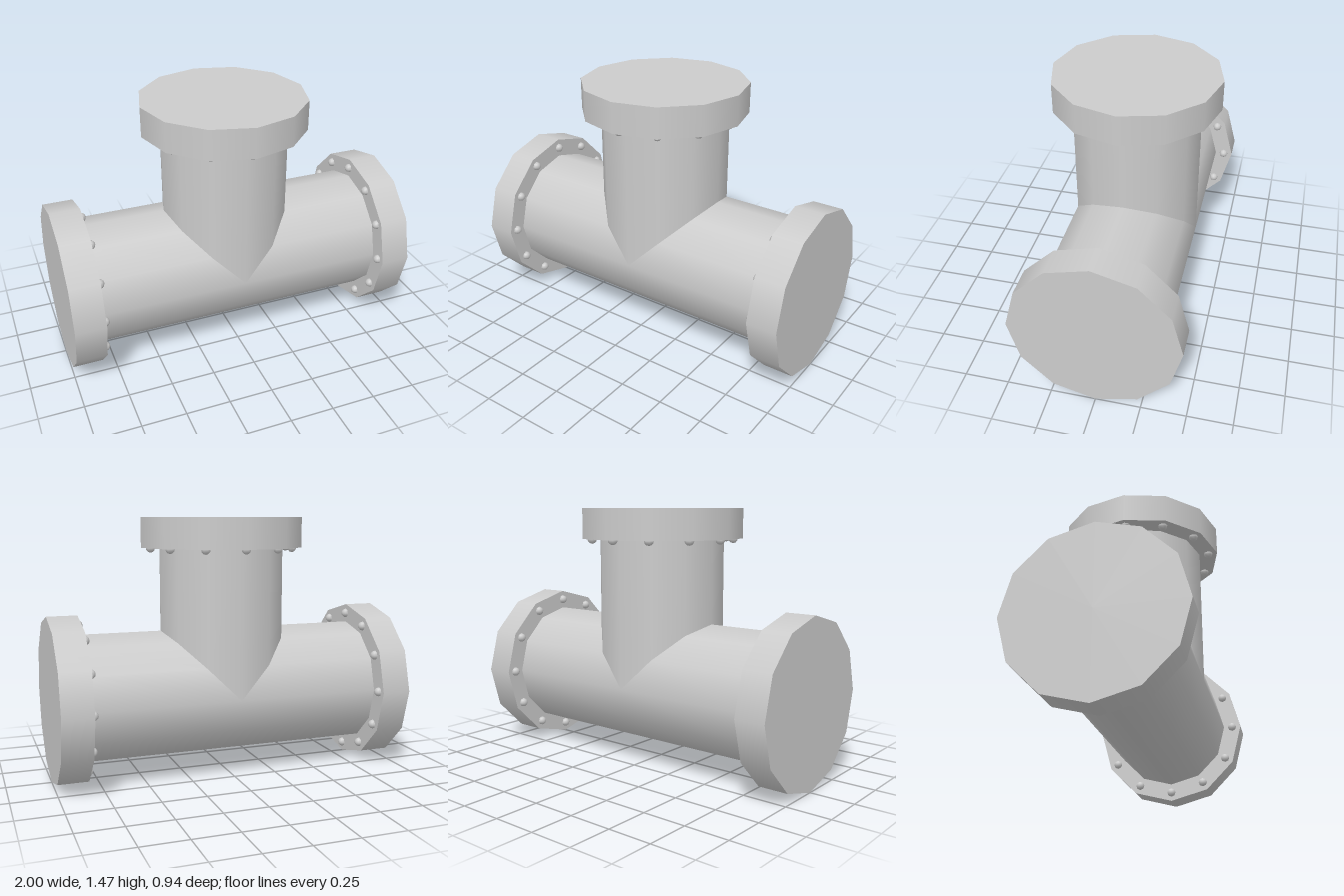
import * as THREE from 'three';

const SIDES = 12;
const PIPE_R = 0.36, FLANGE_R = 0.4675, BOLT_RING_R = 0.413, BOLT_R = 0.027;
const REACH = 1, FLANGE_T = 0.17;
const FACE = REACH - FLANGE_T; // inner face of each flange

const material = new THREE.MeshStandardMaterial({ color: 0xcccccc });

function addMesh(parent, name, geometry) {
  const mesh = new THREE.Mesh(geometry, material);
  mesh.name = name;
  parent.add(mesh);
  return mesh;
}

// One arm of the tee along +y; miter(x) gives the height where its inner end is cut
function createArm(name, miter) {
  const arm = new THREE.Group();
  arm.name = name;

  // Pipe, open at the mitred joint and closed by the flange
  const pipe = new THREE.CylinderGeometry(PIPE_R, PIPE_R, FACE, SIDES, 1, true);
  pipe.translate(0, FACE / 2, 0);
  const p = pipe.attributes.position;
  for (let i = 0; i < p.count; i++) {
    if (p.getY(i) < FACE / 2) p.setY(i, miter(p.getX(i)));
  }
  addMesh(arm, name + 'Pipe', pipe);

  // Solid end flange
  const flange = new THREE.CylinderGeometry(FLANGE_R, FLANGE_R, FLANGE_T, SIDES);
  addMesh(arm, name + 'Flange', flange).position.y = REACH - FLANGE_T / 2;

  // Ring of round bolt heads on the inner face
  const boltHead = new THREE.SphereGeometry(BOLT_R, 8, 6);
  for (let i = 0; i < SIDES; i++) {
    const a = (i / SIDES) * Math.PI * 2;
    addMesh(arm, name + 'Bolt', boltHead)
      .position.set(BOLT_RING_R * Math.sin(a), FACE, BOLT_RING_R * Math.cos(a));
  }
  return arm;
}

export function createModel() {
  const model = new THREE.Group();
  model.name = 'pipeTee';

  // Upright branch and the two arms of the horizontal run
  const branch = createArm('branch', (x) => Math.abs(x));
  const left = createArm('leftArm', (x) => Math.max(0, -x));
  left.rotation.z = -Math.PI / 2;
  const right = createArm('rightArm', (x) => Math.max(0, x));
  right.rotation.z = Math.PI / 2;

  for (const arm of [branch, left, right]) {
    arm.position.y = FLANGE_R;
    model.add(arm);
  }
  return model;
}
